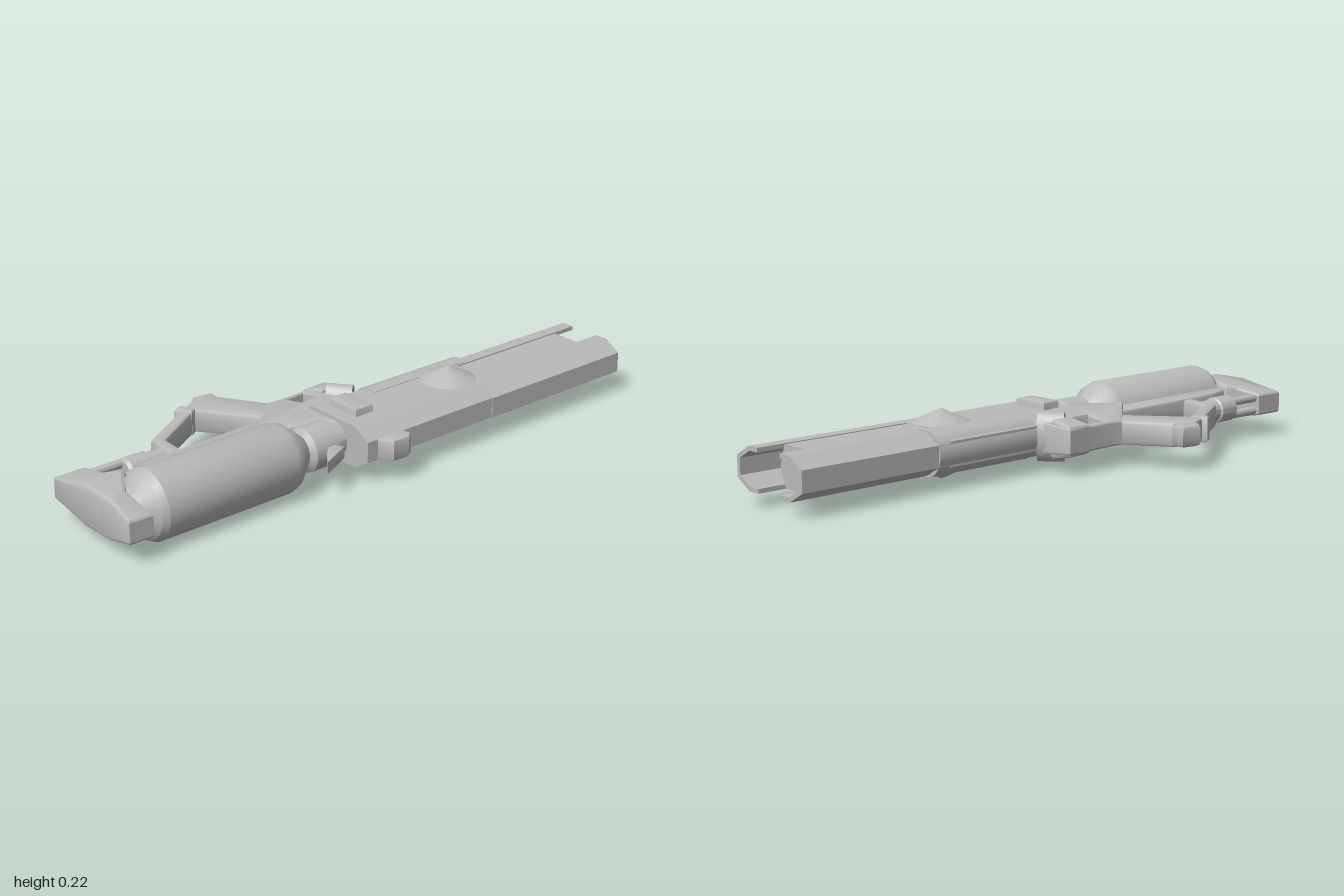
import * as THREE from 'three';
import { toCreasedNormals } from 'three/addons/utils/BufferGeometryUtils.js';

const MID = 0.1125;   // mid-plane height of the rifle lying on its side
const TILT = 0.087;   // barrel direction in plan
const AXIS = 0.132;   // barrel axis offset in the tilted frame

export function createModel() {
  const model = new THREE.Group();
  model.name = 'rifle';
  const metal = new THREE.MeshStandardMaterial({ color: 0xbababa });
  metal.name = 'grey metal';

  const frame = new THREE.Group();
  frame.name = 'stockAndFrame';
  frame.position.y = MID;
  const barrelGroup = new THREE.Group();
  barrelGroup.name = 'barrelAssembly';
  barrelGroup.position.y = MID;
  barrelGroup.rotation.y = -TILT;
  model.add(frame, barrelGroup);

  function add(parent, name, geometry, x = 0, y = 0, z = 0) {
    const mesh = new THREE.Mesh(toCreasedNormals(geometry, 0.42), metal);
    mesh.name = name;
    mesh.position.set(x, y, z);
    parent.add(mesh);
    return mesh;
  }
  const toPoints = (list) => list.map(([a, b]) => new THREE.Vector2(a, b));

  // Plan outline (x, z) thickened evenly about the mid-plane; taper(z) thins it
  function slab(parent, name, outline, half, bevel, holes = [], taper = () => 1) {
    const shape = new THREE.Shape(toPoints(outline));
    holes.forEach((h) => shape.holes.push(new THREE.Path(toPoints(h))));
    const depth = 2 * (half - bevel);
    const g = new THREE.ExtrudeGeometry(shape, {
      depth, bevelEnabled: true, bevelThickness: bevel, bevelSize: bevel,
      bevelOffset: -bevel, bevelSegments: 2,
    });
    g.translate(0, 0, -depth / 2);
    g.rotateX(Math.PI / 2);
    const p = g.attributes.position;
    for (let i = 0; i < p.count; i++) p.setY(i, p.getY(i) * taper(p.getZ(i)));
    return add(parent, name, g);
  }
  // Full thickness in the middle, thinner towards both outer ends
  const thinEnds = (z) => 1 - 0.42 * Math.max(
    THREE.MathUtils.clamp((-0.06 - z) / 0.1, 0, 1),
    THREE.MathUtils.clamp((z - 0.06) / 0.11, 0, 1));
  const thinBack = (z) => 1 - 0.3 * THREE.MathUtils.clamp((-0.07 - z) / 0.08, 0, 1);

  // Cross-section (z, y) swept along the barrel direction
  function sweep(name, profile, from, to) {
    const shape = new THREE.Shape(toPoints(profile.map(([z, y]) => [-z, y])));
    const g = new THREE.ExtrudeGeometry(shape, { depth: to - from, bevelEnabled: false });
    g.rotateY(Math.PI / 2);
    return add(barrelGroup, name, g, from, 0, 0);
  }

  // Turned part along the barrel direction, profile as (radius, position)
  function turned(name, profile, z) {
    const g = new THREE.LatheGeometry(toPoints(profile), 40);
    g.rotateZ(-Math.PI / 2);
    return add(barrelGroup, name, g, 0, 0, z);
  }

  // Gas tank
  turned('tank', [[0, -0.908], [0.045, -0.908], [0.102, -0.86], [0.1125, -0.838],
    [0.1125, -0.365], [0.104, -0.338], [0.052, -0.275], [0, -0.275]], 0.136);
  // Neck between tank and body
  turned('neck', [[0, -0.28], [0.052, -0.28], [0.072, -0.265], [0.072, -0.175], [0.05, -0.165],
    [0.05, -0.1], [0, -0.1]], 0.14);
  // Six-sided barrel
  sweep('barrel', [[0.073, 0], [0.051, 0.066], [-0.051, 0.066], [-0.073, 0], [-0.051, -0.066], [0.051, -0.066]]
    .map(([z, y]) => [AXIS + z, y]), 0.3, 0.905);

  // Main body: long eight-sided section
  sweep('body', [[0.286, -0.034], [0.286, 0.034], [0.229, 0.068], [0.02, 0.068],
    [-0.025, 0.04], [-0.025, -0.04], [0.02, -0.068], [0.229, -0.068]], -0.13, 0.445);
  // Rounded sleeve over the upper rail
  const sleeve = [];
  for (let i = 0; i <= 14; i++) {
    const a = Math.PI / 2 + (i / 14) * Math.PI;
    sleeve.push([0.035 + 0.067 * Math.cos(a), 0.072 * Math.sin(a)]);
  }
  sweep('sleeve', [[0.07, -0.07], [0.07, 0.07], ...sleeve], 0.09, 0.492);

  // Two channel rails facing each other, open towards the barrel
  for (const side of [1, -1]) {
    const rail = [[0.055, 0.068], [0.098, 0.068], [0.157, 0.034], [0.157, -0.034], [0.098, -0.068],
      [0.055, -0.068], [0.055, -0.054], [0.094, -0.054], [0.143, -0.026], [0.143, 0.026],
      [0.094, 0.054], [0.055, 0.054]];
    sweep(side > 0 ? 'lowerRail' : 'upperRail', rail.map(([z, y]) => [AXIS + side * z, y]), 0.4, 0.999);
  }

  // Low conical bosses on both flat faces
  for (const side of [1, -1]) {
    const g = new THREE.ConeGeometry(0.097, 0.046, 40);
    if (side < 0) g.rotateX(Math.PI);
    add(barrelGroup, 'boss', g, 0.35, side * 0.089, 0.13);
  }

  // Blocks clamped on the rear of the body
  slab(barrelGroup, 'bodyClamp', [[-0.082, 0.05], [-0.012, 0.045], [-0.012, 0.175], [-0.082, 0.175]], 0.094, 0.008);
  slab(barrelGroup, 'lowerLug', [[-0.1, 0.27], [0.02, 0.27], [0.02, 0.315], [0, 0.33], [-0.06, 0.328], [-0.08, 0.3]], 0.035, 0.006);
  slab(barrelGroup, 'neckFin', [[-0.2, 0.19], [-0.18, 0.235], [-0.29, 0.288], [-0.25, 0.235]], 0.02, 0.003);

  // Shoulder butt
  slab(frame, 'butt', [[-0.968, -0.214], [-0.862, -0.203], [-0.862, -0.11], [-0.834, -0.086],
    [-0.834, -0.045], [-0.912, 0.05], [-0.92, 0.176], [-1, 0.166], [-0.991, 0.06], [-0.981, -0.06]],
  0.067, 0.014, [], thinEnds);

  // Bar along the tank
  slab(frame, 'tankBar', [[-0.85, -0.07], [-0.74, -0.095], [-0.58, -0.088], [-0.26, -0.07],
    [-0.26, 0.03], [-0.85, -0.01]], 0.045, 0.01);

  // Open grip frame with its triangular opening
  slab(frame, 'gripFrame', [[-0.635, -0.09], [-0.604, -0.208], [-0.396, -0.312], [-0.3, -0.35],
    [-0.235, -0.31], [-0.16, -0.16], [-0.16, -0.02], [-0.3, -0.02], [-0.62, -0.045]], 0.04, 0.012,
  [[[-0.57, -0.175], [-0.364, -0.28], [-0.25, -0.1], [-0.283, -0.064], [-0.583, -0.087]]]);
  slab(frame, 'gripCap', [[-0.325, -0.345], [-0.289, -0.376], [-0.22, -0.359], [-0.232, -0.305], [-0.285, -0.3]], 0.035, 0.014);
  slab(frame, 'gripBand', [[-0.412, -0.322], [-0.375, -0.34], [-0.352, -0.285], [-0.385, -0.268]], 0.042, 0.008);

  // Receiver with trigger opening
  slab(frame, 'receiver', [[-0.34, -0.02], [-0.28, -0.066], [-0.2, -0.13], [-0.16, -0.16], [-0.12, -0.148],
    [0.07, -0.14], [0.08, 0.03], [0, 0.12], [-0.1, 0.23], [-0.16, 0.1], [-0.28, 0.06]], 0.057, 0.008,
  [[[-0.108, -0.13], [-0.035, -0.128], [-0.025, -0.052], [-0.11, -0.06]]], thinBack);
  slab(frame, 'trigger', [[-0.1, -0.125], [-0.085, -0.125], [-0.07, -0.05], [-0.095, -0.05]], 0.015, 0.003);
  slab(frame, 'guardBlock', [[-0.02, -0.145], [0.068, -0.138], [0.07, -0.06], [-0.015, -0.06]], 0.065, 0.012, [], thinBack);

  // Rounded lock drum beside the receiver
  const drum = new THREE.CylinderGeometry(1, 1, 0.085, 32);
  drum.rotateX(Math.PI / 2);
  drum.scale(0.042, 0.08, 1);
  add(frame, 'lockDrum', drum, 0.035, 0, -0.03).rotation.y = 0.6;

  // Recoil tube and rods linking grip frame and butt
  turned('recoilTube', [[0, -0.77], [0.035, -0.77], [0.044, -0.76], [0.044, -0.69], [0.037, -0.685],
    [0.037, -0.62], [0, -0.62]], -0.083);
  for (const y of [-0.022, 0.022]) {
    turned('recoilRod', [[0, -0.9], [0.014, -0.9], [0.014, -0.74], [0, -0.74]], -0.103).position.y = y;
  }

  return model;
}
